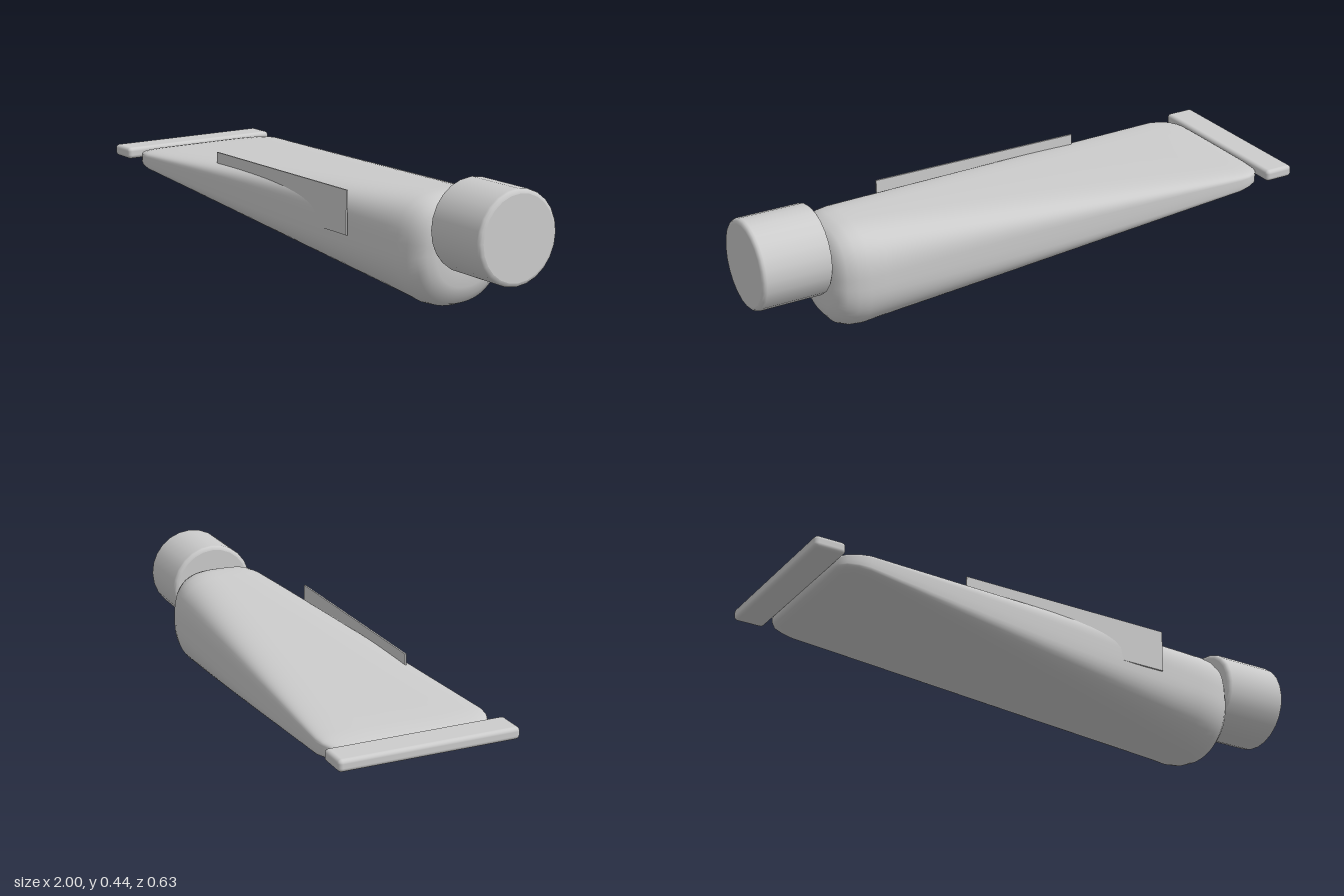
import * as THREE from 'three';
import { RoundedBoxGeometry } from 'three/addons/geometries/RoundedBoxGeometry.js';

// Loft along x through sections [x, halfWidth, bottom, top]; the sections get rounder towards +x.
function loftBody(sections, sides) {
  const pos = [], idx = [];
  for (const [x, w, bottom, top] of sections) {
    const t = THREE.MathUtils.clamp((x + 0.88) / 1.5, 0, 1);
    const mid = (bottom + top) / 2, h = (top - bottom) / 2;
    for (let j = 0; j < sides; j++) {
      const a = (j / sides) * Math.PI * 2, c = Math.cos(a), s = Math.sin(a);
      const n = s > 0 ? 6 - 3 * t : 4.5 - 2.3 * t;
      pos.push(x, mid + h * Math.sign(s) * Math.abs(s) ** (2 / n), w * Math.sign(c) * Math.abs(c) ** (2 / n));
    }
  }
  for (let i = 0; i < sections.length - 1; i++) {
    for (let j = 0; j < sides; j++) {
      const k = (j + 1) % sides, a = i * sides, b = a + sides;
      idx.push(a + j, b + j, b + k, a + j, b + k, a + k);
    }
  }
  const g = new THREE.BufferGeometry();
  g.setAttribute('position', new THREE.Float32BufferAttribute(pos, 3));
  g.setIndex(idx);
  g.computeVertexNormals();
  return g;
}

export function createModel() {
  const model = new THREE.Group();
  model.name = 'squeezeTube';
  const grey = new THREE.MeshStandardMaterial({ color: 0xcccccc });
  grey.name = 'light grey';

  const add = (name, geometry, x, y, z) => {
    const mesh = new THREE.Mesh(geometry, grey);
    mesh.name = name;
    mesh.position.set(x, y, z);
    model.add(mesh);
    return mesh;
  };

  // Tube body: pinched and wide at the tail, deep and round at the shoulder
  const sections = [
    [-0.895, 0.01, 0.277, 0.283],
    [-0.893, 0.22, 0.262, 0.298],
    [-0.885, 0.25, 0.253, 0.303],
    [-0.865, 0.275, 0.246, 0.308],
    [-0.83, 0.291, 0.24, 0.313],
    [-0.79, 0.298, 0.233, 0.317],
  ];
  for (let i = 1; i <= 12; i++) {
    const t = i / 12;
    sections.push([-0.79 + 1.37 * t, 0.298 - 0.094 * t, 0.233 - 0.219 * t, 0.317 + 0.065 * t]);
  }
  sections.push(
    [0.635, 0.198, 0.003, 0.385],
    [0.675, 0.189, 0.006, 0.382],
    [0.71, 0.173, 0.02, 0.37],
    [0.732, 0.15, 0.047, 0.347],
    [0.742, 0.12, 0.08, 0.318],
    [0.745, 0.08, 0.125, 0.28],
    [0.746, 0.002, 0.198, 0.202],
  );
  add('body', loftBody(sections, 64), 0, 0, 0);

  // Flattened seal at the tail
  add('tailSeal', new RoundedBoxGeometry(0.11, 0.042, 0.63, 3, 0.014), -0.945, 0.293, 0);

  // Short neck joining the body to the cap
  add('neck', new THREE.CylinderGeometry(0.07, 0.07, 0.1, 24), 0.73, 0.28, 0).rotation.z = -Math.PI / 2;

  // Screw cap with softened rims
  const r = 0.157, bevel = 0.015, half = 0.125;
  const profile = [[0, -half], [r - bevel, -half], [r - bevel, -half]];
  for (let i = 1; i <= 3; i++) {
    const a = (i / 3) * Math.PI / 2;
    profile.push([r - bevel + bevel * Math.sin(a), -half + bevel - bevel * Math.cos(a)]);
  }
  const mirrored = profile.map(([x, y]) => [x, -y]).reverse();
  const points = [...profile, ...mirrored].map(([x, y]) => new THREE.Vector2(x, y));
  add('cap', new THREE.LatheGeometry(points, 24), 0.874, 0.29, 0).rotation.z = -Math.PI / 2;

  // Thin label plate standing through the front side of the body
  add('labelPlate', new THREE.BoxGeometry(0.8, 0.152, 0.006), 0, 0.291, 0.225);

  return model;
}
